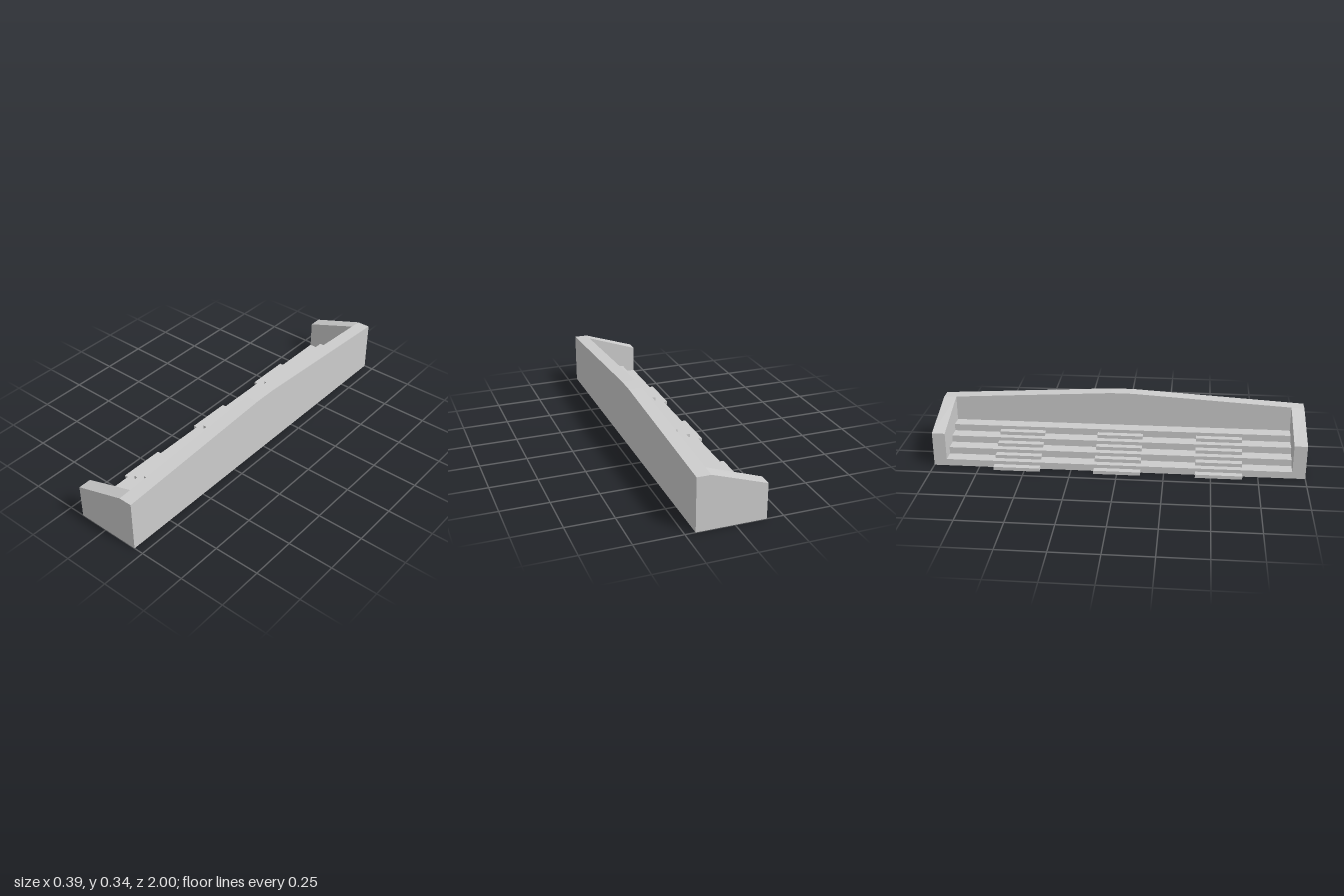
import * as THREE from 'three';

const FRONT = -0.162;  // outer edge of the lowest tread
const INNER = 0.125;   // inner face of the tall wall
const BACK = 0.197;    // outer face of the tall wall
const WALL = 0.93;     // inner face of the end walls
const TREAD = (INNER - FRONT) / 4;
const RISER = 0.0375;
const EAVE = 0.283, PEAK = 0.338, FLAT = 0.06;

const material = new THREE.MeshStandardMaterial({ color: 0xcccccc, flatShading: true });

function shapeOf(points) {
  return new THREE.Shape(points.map(([x, y]) => new THREE.Vector2(x, y)));
}

function addMesh(parent, geometry, name) {
  const mesh = new THREE.Mesh(geometry, material);
  mesh.name = name;
  parent.add(mesh);
  return mesh;
}

// Box given by its lower and upper limits
function addBox(parent, name, x0, x1, y0, y1, z0, z1) {
  const mesh = addMesh(parent, new THREE.BoxGeometry(x1 - x0, y1 - y0, z1 - z0), name);
  mesh.position.set((x0 + x1) / 2, (y0 + y1) / 2, (z0 + z1) / 2);
}

// End wall with a sloping top, slightly higher on its inner edge to meet the tall wall
function endWallGeometry(side) {
  const geometry = new THREE.ExtrudeGeometry(
    shapeOf([[FRONT, 0], [INNER, 0], [INNER, EAVE], [FRONT, 0.188]]),
    { depth: 1 - WALL, bevelEnabled: false });
  geometry.translate(0, 0, side > 0 ? WALL : -1);
  const p = geometry.attributes.position;
  const innerTop = EAVE + (PEAK - EAVE) * (1 - WALL) / (1 - FLAT);
  for (let i = 0; i < p.count; i++) {
    if (p.getY(i) > EAVE - 0.001 && Math.abs(p.getZ(i)) < WALL + 0.001) p.setY(i, innerTop);
  }
  geometry.computeVertexNormals();
  return geometry;
}

export function createModel() {
  const model = new THREE.Group();
  model.name = 'steppedStand';

  // Tall wall: gabled profile along z, extruded across x
  const wall = new THREE.ExtrudeGeometry(
    shapeOf([[-1, 0], [1, 0], [1, EAVE], [FLAT, PEAK], [-FLAT, PEAK], [-1, EAVE]]),
    { depth: BACK - INNER, bevelEnabled: false });
  wall.rotateY(Math.PI / 2);
  wall.translate(INNER, 0, 0);
  addMesh(model, wall, 'tallWall');

  // End walls
  for (const side of [1, -1]) {
    addMesh(model, endWallGeometry(side), side > 0 ? 'frontEndWall' : 'backEndWall');
  }

  // Treads, hollow beneath, with three half steps at the foot of each
  for (let i = 0; i < 4; i++) {
    const x = FRONT + i * TREAD;
    const y = i * RISER;
    addBox(model, 'tread', x, x + TREAD, y, y + RISER, -WALL, WALL);
    for (const z of [-0.542, 0, 0.542]) {
      addBox(model, 'halfStep', x - TREAD / 2, x, y, y + RISER / 2, z - 0.125, z + 0.125);
    }
  }

  return model;
}
